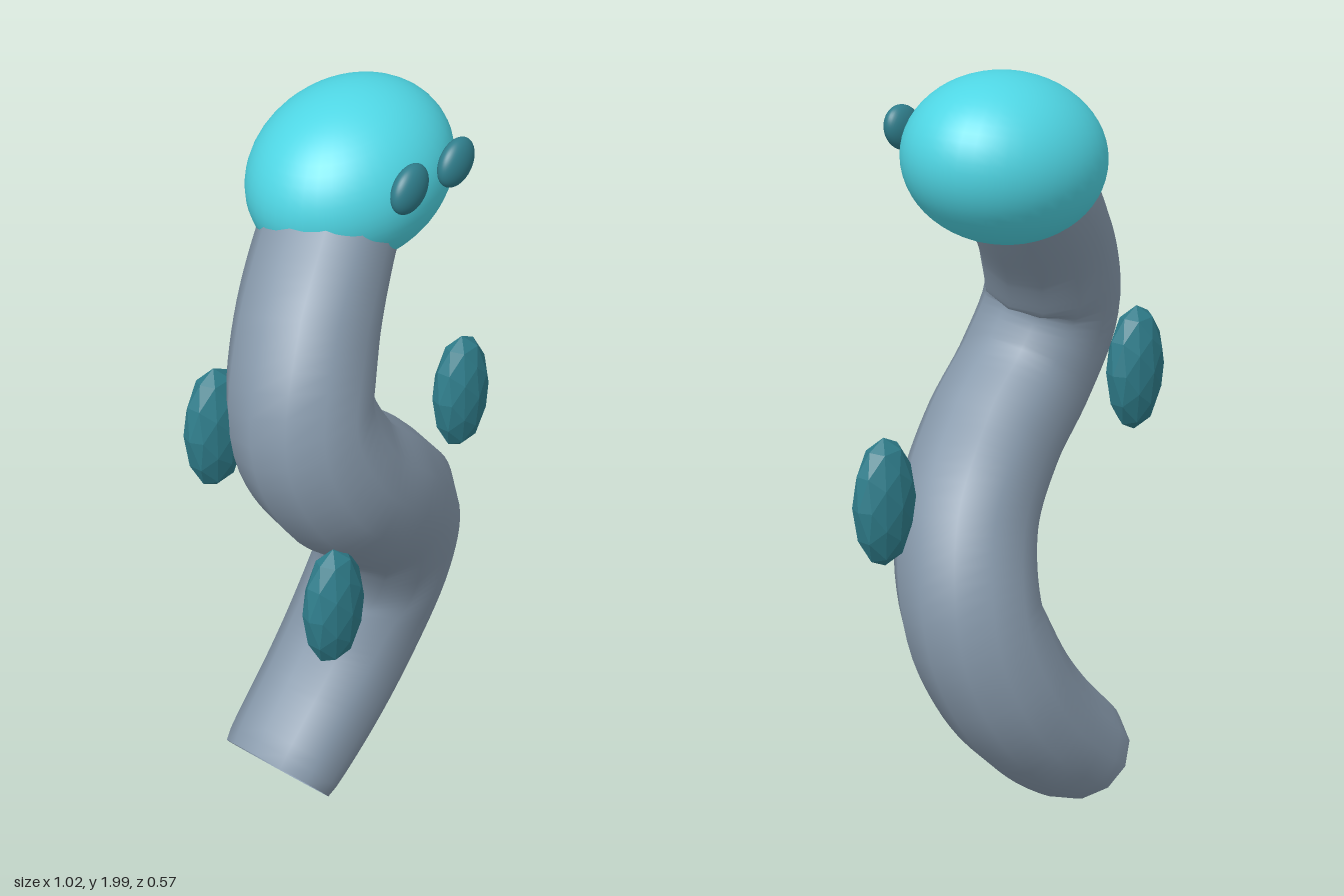
import * as THREE from 'three';

const slate = new THREE.MeshStandardMaterial({ color: 0x8799ab, side: THREE.DoubleSide });
const cyan = new THREE.MeshStandardMaterial({ color: 0x4fd6e4 });
const teal = new THREE.MeshStandardMaterial({ color: 0x2f7d8b });
const tealFlat = new THREE.MeshStandardMaterial({ color: 0x2f7d8b, flatShading: true });

// Open tube along a curve, thicker in the middle, with oval sections that lean slightly in the bends
function bodyGeometry(curve, rings = 64, sides = 12) {
  const pos = [], index = [];
  const side = new THREE.Vector3(), normal = new THREE.Vector3();
  for (let i = 0; i <= rings; i++) {
    const t = i / rings, swell = Math.sqrt(Math.max(0, Math.sin(Math.PI * t)));
    const p = curve.getPointAt(t);
    const tangent = curve.getTangentAt(t + 0.02 * Math.sin(2 * Math.PI * t));
    side.set(0, 0, 1).addScaledVector(tangent, -tangent.z).normalize();
    normal.crossVectors(side, tangent);
    for (let j = 0; j < sides; j++) {
      const a = (j / sides) * Math.PI * 2;
      const v = p.clone()
        .addScaledVector(normal, Math.cos(a) * (0.138 + 0.054 * swell))
        .addScaledVector(side, Math.sin(a) * (0.16 + 0.02 * swell));
      pos.push(v.x, v.y, v.z);
      if (i < rings) {
        const k = (j + 1) % sides, b = i * sides, c = b + sides;
        index.push(b + j, b + k, c + k, b + j, c + k, c + j);
      }
    }
  }
  const g = new THREE.BufferGeometry();
  g.setAttribute('position', new THREE.Float32BufferAttribute(pos, 3));
  g.setIndex(index);
  g.computeVertexNormals();
  return g;
}

function add(parent, name, geometry, material, position, scale = [1, 1, 1], tilt = 0) {
  const mesh = new THREE.Mesh(geometry, material);
  mesh.name = name;
  mesh.position.set(...position);
  mesh.scale.set(...scale);
  mesh.rotation.z = tilt;
  parent.add(mesh);
}

export function createModel() {
  const model = new THREE.Group();
  model.name = 'serpent';

  // Winding body
  const path = new THREE.CatmullRomCurve3([
    [-0.24, 0.108, -0.09], [-0.04, 0.285, -0.085], [0.07, 0.435, -0.07], [0.13, 0.63, -0.028],
    [0.065, 0.835, 0.04], [-0.095, 1.0, 0.093], [-0.25, 1.14, 0.107],
    [-0.322, 1.305, 0.083], [-0.255, 1.48, 0.038], [-0.12, 1.645, -0.015], [0, 1.77, -0.045],
  ].map((p) => new THREE.Vector3(...p)));
  add(model, 'body', bodyGeometry(path), slate, [0, 0, 0]);

  // Tilted egg-shaped head
  const ball = new THREE.SphereGeometry(1, 40, 28);
  add(model, 'head', ball, cyan, [0.027, 1.787, -0.052], [0.28, 0.209, 0.232], 0.2);

  // Eyes
  for (const [name, x] of [['rightEye', -0.052], ['leftEye', 0.125]]) {
    add(model, name, ball, teal, [x, 1.842, 0.188], [0.064, 0.053, 0.032], 0.7);
  }

  // Faceted scales floating around the body
  const gem = new THREE.IcosahedronGeometry(1, 1);
  [[-0.335, 0.818, 0.185], [0.42, 1.003, 0], [-0.335, 1.187, -0.185]].forEach((p, i) => {
    add(model, `scale${i + 1}`, gem, tealFlat, p, [0.094, 0.166, 0.061]);
  });

  return model;
}
